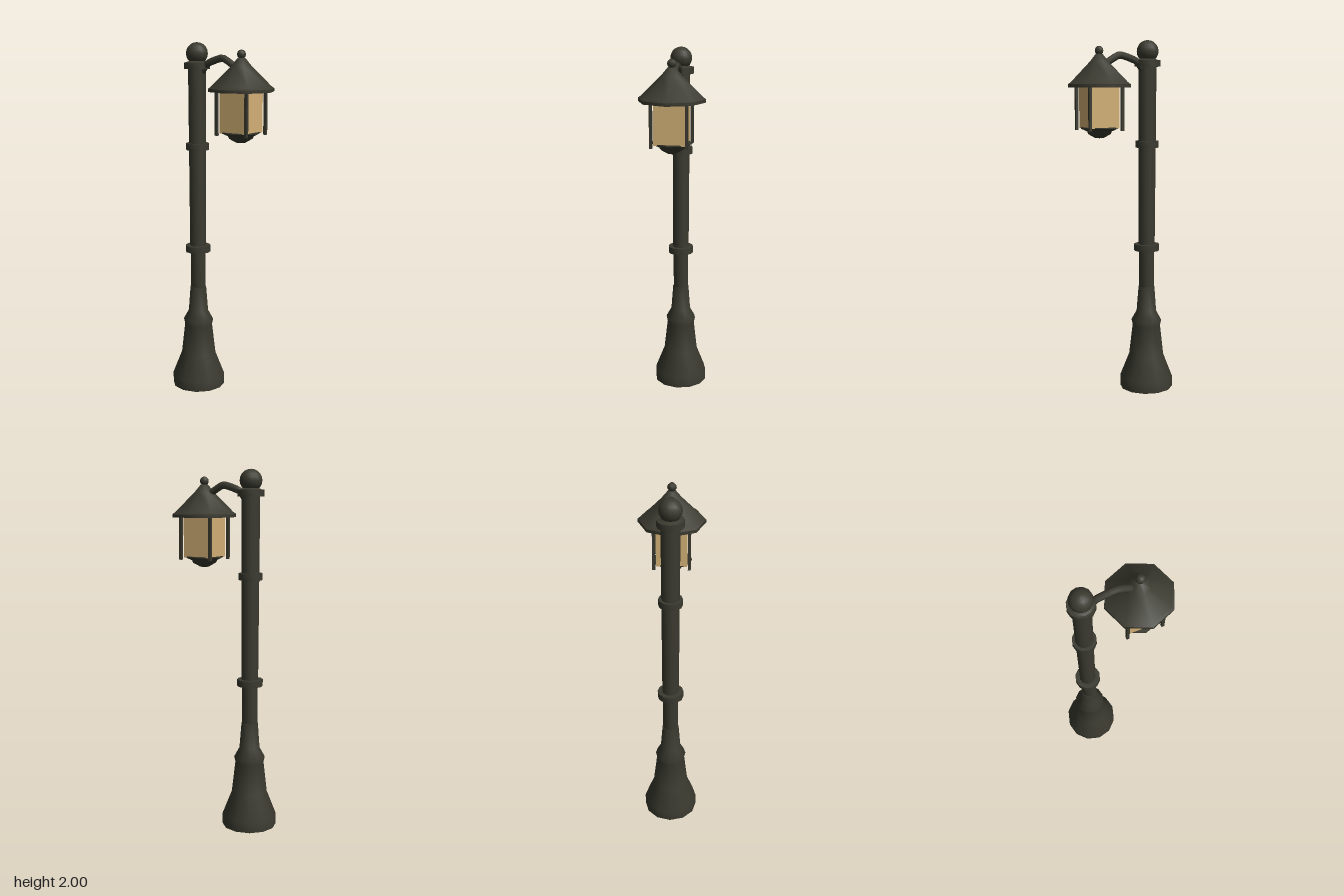
import * as THREE from 'three';
import { toCreasedNormals } from 'three/addons/utils/BufferGeometryUtils.js';

const POLE_X = -0.163, LAMP_X = 0.132;

export function createModel() {
  const group = new THREE.Group();
  const metal = new THREE.MeshStandardMaterial({ color: 0x3a3a30 });
  metal.name = 'darkMetal';
  const glass = new THREE.MeshStandardMaterial({ color: 0xd4b076 });
  glass.name = 'amberGlass';

  const add = (name, geometry, material, x, y = 0, z = 0) => {
    const mesh = new THREE.Mesh(geometry, material);
    mesh.name = name;
    mesh.position.set(x, y, z);
    group.add(mesh);
    return mesh;
  };
  // Turned part from [radius, height] pairs, listed bottom to top
  const turned = (name, profile, sides, x) => {
    const points = profile.map(([r, y]) => new THREE.Vector2(r, y));
    return add(name, toCreasedNormals(new THREE.LatheGeometry(points, sides), 0.87), metal, x);
  };

  // Flared base and tapering post
  turned('base', [[0, 0], [0.153, 0], [0.153, 0.06], [0.1, 0.195], [0.08, 0.37],
    [0.087, 0.4], [0.057, 0.455], [0.046, 0.6], [0, 0.6]], 12, POLE_X);
  turned('pole', [[0.043, 0.59], [0.043, 0.83], [0.046, 0.83], [0.05, 1.87], [0, 1.87]], 12, POLE_X);

  // Collars around the post
  for (const [y0, y1, r] of [[0.813, 0.85, 0.072], [1.405, 1.443, 0.065], [1.855, 1.89, 0.072]]) {
    turned('collar', [[0.04, y0], [r, y0], [r, y1], [0.04, y1]], 12, POLE_X);
  }
  turned('poleCap', [[0.072, 1.885], [0.04, 1.9], [0, 1.9]], 12, POLE_X);
  add('poleBall', new THREE.SphereGeometry(0.061, 12, 10), metal, POLE_X, 1.939);

  // Bent arm from the post into the roof
  const path = new THREE.CatmullRomCurve3([[-0.13, 1.84], [-0.09, 1.886], [0.01, 1.916], [0.1, 1.866]]
    .map(([x, y]) => new THREE.Vector3(x, y, 0)), false, 'catmullrom', 0.25);
  add('arm', new THREE.TubeGeometry(path, 14, 0.02, 8), metal, 0);

  // Octagonal roof with a brim and finial
  turned('roof', [[0, 1.741], [0.182, 1.741], [0.182, 1.758], [0.165, 1.77],
    [0.055, 1.878], [0.022, 1.918], [0, 1.925]], 8, LAMP_X);
  add('finial', new THREE.SphereGeometry(0.025, 8, 6), metal, LAMP_X, 1.938);

  // Glass body and corner posts
  add('glassBody', new THREE.BoxGeometry(0.168, 0.225, 0.168), glass, LAMP_X, 1.632);
  for (const sx of [-1, 1]) for (const sz of [-1, 1]) {
    add('cornerPost', new THREE.BoxGeometry(0.016, 0.24, 0.016), metal, LAMP_X + sx * 0.095, 1.627, sz * 0.095);
  }

  // Bowl closing the lantern underneath
  turned('lanternBowl', [[0, 1.464], [0.025, 1.466], [0.066, 1.488], [0.073, 1.503],
    [0.11, 1.519], [0.11, 1.525], [0, 1.525]], 8, LAMP_X);

  return group;
}
